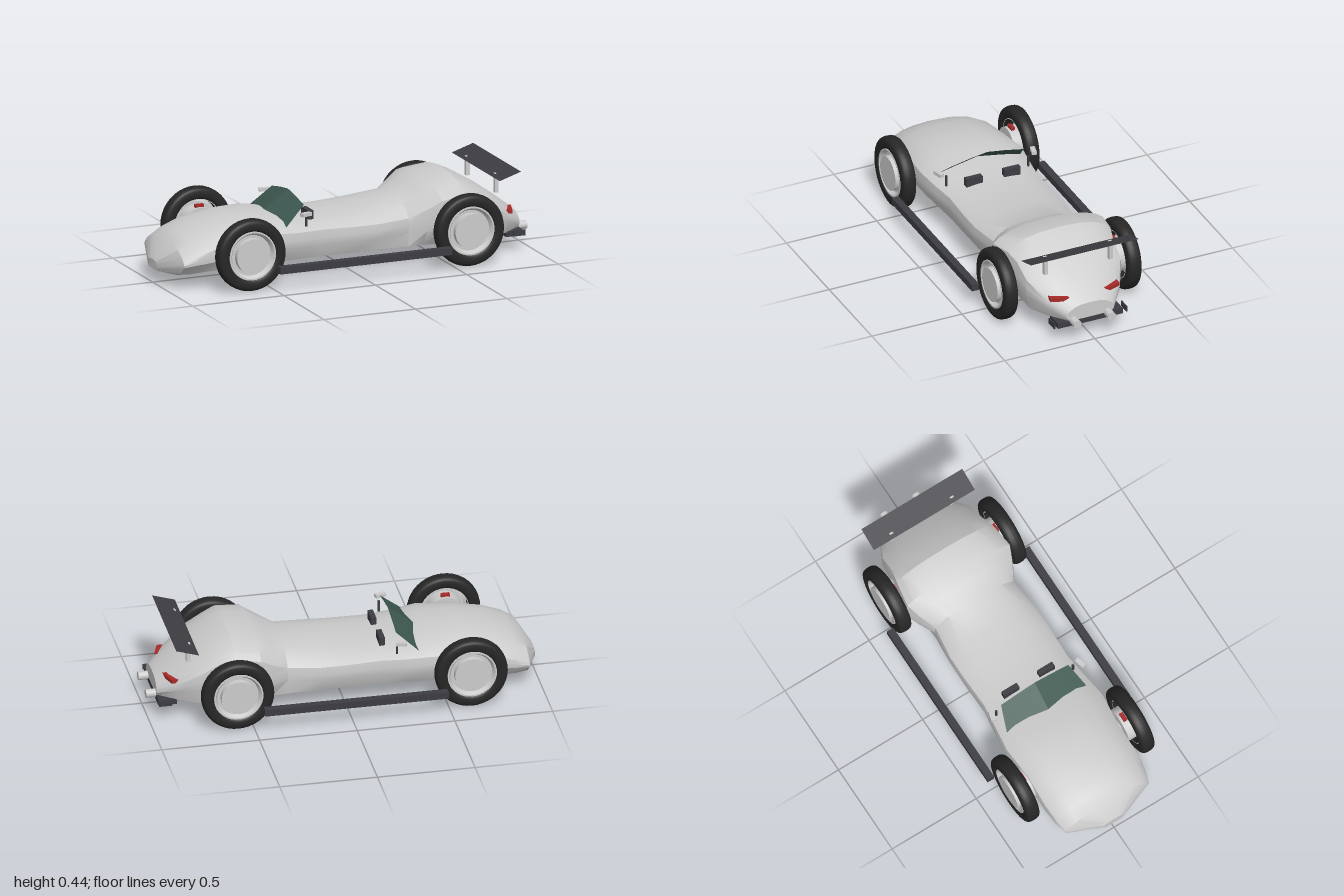
import * as THREE from 'three';
import { toCreasedNormals } from 'three/addons/utils/BufferGeometryUtils.js';

const mat = (color, side = THREE.FrontSide) => new THREE.MeshStandardMaterial({ color, side });
const grey = mat(0xcccccc);
const dark = mat(0x3c3c42);
const rubber = mat(0x262626);
const red = mat(0xa82a2a);
const darkSheet = mat(0x3c3c42, THREE.DoubleSide);
const glass = mat(0x3d5850, THREE.DoubleSide);

function add(parent, name, geometry, material, x = 0, y = 0, z = 0) {
  const mesh = new THREE.Mesh(geometry, material);
  mesh.name = name;
  mesh.position.set(x, y, z);
  parent.add(mesh);
  return mesh;
}

const box = (w, h, d) => new THREE.BoxGeometry(w, h, d);

// Body stations: x, half width, top, shoulder height, sill height, floor half width, floor height
const stations = [
  [-1, 0.065, 0.125, 0.11, 0.1, 0.06, 0.075],
  [-0.935, 0.25, 0.225, 0.15, 0.13, 0.2, 0.073],
  [-0.87, 0.265, 0.265, 0.18, 0.14, 0.22, 0.073],
  [-0.78, 0.275, 0.295, 0.215, 0.15, 0.23, 0.08],
  [-0.615, 0.272, 0.325, 0.25, 0.17, 0.24, 0.085],
  [-0.45, 0.287, 0.325, 0.26, 0.18, 0.24, 0.09],
  [-0.3, 0.268, 0.3, 0.25, 0.17, 0.23, 0.09],
  [-0.18, 0.252, 0.288, 0.248, 0.17, 0.225, 0.09],
  [0, 0.258, 0.295, 0.245, 0.17, 0.225, 0.09],
  [0.13, 0.258, 0.308, 0.245, 0.175, 0.225, 0.09],
  [0.3, 0.236, 0.335, 0.25, 0.18, 0.23, 0.09],
  [0.38, 0.28, 0.375, 0.295, 0.185, 0.235, 0.09],
  [0.45, 0.31, 0.41, 0.34, 0.19, 0.24, 0.09],
  [0.58, 0.29, 0.43, 0.355, 0.19, 0.24, 0.09],
  [0.65, 0.272, 0.4, 0.33, 0.19, 0.24, 0.09],
  [0.75, 0.265, 0.34, 0.275, 0.19, 0.24, 0.09],
  [0.86, 0.205, 0.262, 0.2, 0.165, 0.18, 0.09],
  [0.95, 0.13, 0.192, 0.15, 0.125, 0.11, 0.088],
];

// Cross-section ring as [z, y], from the top down the +z side and back up the other
function sectionRing([, w, top, shoulder, sill, floorW, floorY]) {
  const d = top - shoulder;
  const half = [
    [0, top], [0.38 * w, top - 0.07 * d], [0.66 * w, top - 0.28 * d], [0.87 * w, top - 0.64 * d],
    [0.98 * w, shoulder], [w, (shoulder + sill) / 2], [0.99 * w, sill],
    [floorW, floorY + 0.015], [0.78 * floorW, floorY], [0, floorY],
  ];
  return [...half, ...half.slice(1, -1).reverse().map(([z, y]) => [-z, y])];
}

function bodyGeometry() {
  const rings = stations.map(sectionRing);
  const n = rings[0].length;
  const position = [];
  const index = [];
  rings.forEach((ring, i) => ring.forEach(([z, y]) => position.push(stations[i][0], y, z)));
  for (let i = 0; i < rings.length - 1; i++) {
    for (let j = 0; j < n; j++) {
      const a = i * n + j;
      const b = i * n + ((j + 1) % n);
      index.push(a, b, a + n, b, b + n, a + n);
    }
  }
  // Flat nose and tail caps
  const last = (rings.length - 1) * n;
  for (let j = 1; j < n - 1; j++) {
    index.push(0, j + 1, j, last, last + j, last + j + 1);
  }
  const geometry = new THREE.BufferGeometry();
  geometry.setAttribute('position', new THREE.Float32BufferAttribute(position, 3));
  geometry.setIndex(index);
  return toCreasedNormals(geometry, 0.5);
}

// Thin sheet between two rows of [x, y, z] points
function sheetGeometry(rowA, rowB) {
  const geometry = new THREE.BufferGeometry();
  geometry.setAttribute('position', new THREE.Float32BufferAttribute([...rowA, ...rowB].flat(), 3));
  const n = rowA.length;
  const index = [];
  for (let i = 0; i < n - 1; i++) index.push(i, i + 1, i + n, i + 1, i + n + 1, i + n);
  geometry.setIndex(index);
  return toCreasedNormals(geometry, 0.2);
}

function createWheel() {
  const wheel = new THREE.Group();
  wheel.name = 'wheel';
  const soft = (v) => Math.sign(v) * Math.pow(Math.abs(v), 0.7);
  const profile = [];
  for (let i = 0; i <= 20; i++) {
    const a = (i / 20) * Math.PI * 2;
    profile.push(new THREE.Vector2(0.153 + 0.033 * soft(Math.cos(a)), 0.038 * soft(Math.sin(a))));
  }
  add(wheel, 'tyre', new THREE.LatheGeometry(profile, 40).rotateX(Math.PI / 2), rubber);
  // Rim barrel with a recessed web
  const rim = [[0.122, -0.03], [0.126, -0.03], [0.126, 0.034], [0.118, 0.034], [0.105, 0.012], [0, 0.012]];
  const rimGeometry = new THREE.LatheGeometry(rim.map(([r, y]) => new THREE.Vector2(r, y)), 40);
  add(wheel, 'rim', toCreasedNormals(rimGeometry.rotateX(Math.PI / 2), 0.5), mat(0xcccccc, THREE.DoubleSide));
  const hub = new THREE.CylinderGeometry(0.09, 0.09, 0.108, 36).rotateX(Math.PI / 2);
  add(wheel, 'hub', hub, grey, 0, 0, -0.012);
  add(wheel, 'brakeCaliper', box(0.045, 0.03, 0.02), red, 0, 0.088, -0.042);
  return wheel;
}

export function createModel() {
  const car = new THREE.Group();
  car.name = 'raceCar';
  add(car, 'body', bodyGeometry(), grey);

  // Windscreen folded along the centre line
  const lower = [[-0.385, 0.265, -0.24], [-0.385, 0.295, -0.1], [-0.4, 0.305, 0], [-0.385, 0.295, 0.1], [-0.385, 0.265, 0.24]];
  const upper = [[-0.26, 0.375, -0.2], [-0.26, 0.395, -0.1], [-0.26, 0.41, 0], [-0.26, 0.395, 0.1], [-0.26, 0.375, 0.2]];
  add(car, 'windscreen', sheetGeometry(lower, upper), glass);

  // Rear wing sheet, rising to the rear
  add(car, 'rearWing', sheetGeometry(
    [[0.768, 0.41, -0.3], [0.768, 0.41, 0.3]],
    [[0.885, 0.447, -0.3], [0.885, 0.447, 0.3]],
  ), darkSheet);

  // Rear diffuser
  add(car, 'diffuser', box(0.095, 0.028, 0.36), dark, 0.903, 0.094, 0);

  // Tail light wedge, outline in z and y
  const lampShape = new THREE.Shape([
    new THREE.Vector2(0.19, 0.203), new THREE.Vector2(0.19, 0.223),
    new THREE.Vector2(0.1, 0.223), new THREE.Vector2(0.13, 0.203),
  ]);

  for (const s of [1, -1]) {
    for (const x of [-0.615, 0.58]) {
      const wheel = createWheel();
      wheel.position.set(x, 0.19, s * 0.342);
      if (s < 0) wheel.rotation.y = Math.PI;
      car.add(wheel);
      const axle = new THREE.CylinderGeometry(0.03, 0.03, 0.1, 16).rotateX(Math.PI / 2);
      add(car, 'axle', axle, grey, x, 0.19, s * 0.26);
    }
    add(car, 'sideBar', box(0.94, 0.036, 0.038), dark, -0.015, 0.11, s * 0.404);
    add(car, 'headrest', box(0.028, 0.055, 0.09), dark, -0.2, 0.298, s * 0.105);
    add(car, 'mirrorStalk', box(0.01, 0.06, 0.01), dark, -0.26, 0.3, s * 0.228);
    const mirror = add(car, 'mirror', box(0.055, 0.018, 0.025), grey, -0.275, 0.342, s * 0.262);
    mirror.rotation.y = s * 0.25;
    add(car, 'wingSupport', box(0.02, 0.1, 0.02), grey, 0.8, 0.37, s * 0.18);
    add(car, 'diffuserFin', box(0.065, 0.03, 0.006), dark, 0.92, 0.1, s * 0.2);
    const pipe = new THREE.CylinderGeometry(0.022, 0.022, 0.12, 20).rotateZ(Math.PI / 2);
    add(car, 'exhaustPipe', pipe, grey, 0.94, 0.11, s * 0.095);

    // Lamp laid against the tapering tail
    const lamp = new THREE.ExtrudeGeometry(lampShape, { depth: 0.04, bevelEnabled: false });
    lamp.rotateY(-Math.PI / 2);
    const p = lamp.attributes.position;
    for (let i = 0; i < p.count; i++) {
      const z = p.getZ(i);
      p.setXYZ(i, p.getX(i) + 0.916 - (z - 0.1) * 0.35, p.getY(i), z * s);
    }
    if (s < 0) {
      // Mirroring flips the corner order, so swap two corners of each triangle
      for (let i = 0; i < p.count; i += 3) {
        const a = new THREE.Vector3().fromBufferAttribute(p, i);
        const b = new THREE.Vector3().fromBufferAttribute(p, i + 1);
        p.setXYZ(i, b.x, b.y, b.z);
        p.setXYZ(i + 1, a.x, a.y, a.z);
      }
    }
    lamp.computeVertexNormals();
    add(car, 'tailLight', lamp, red);
  }
  return car;
}
